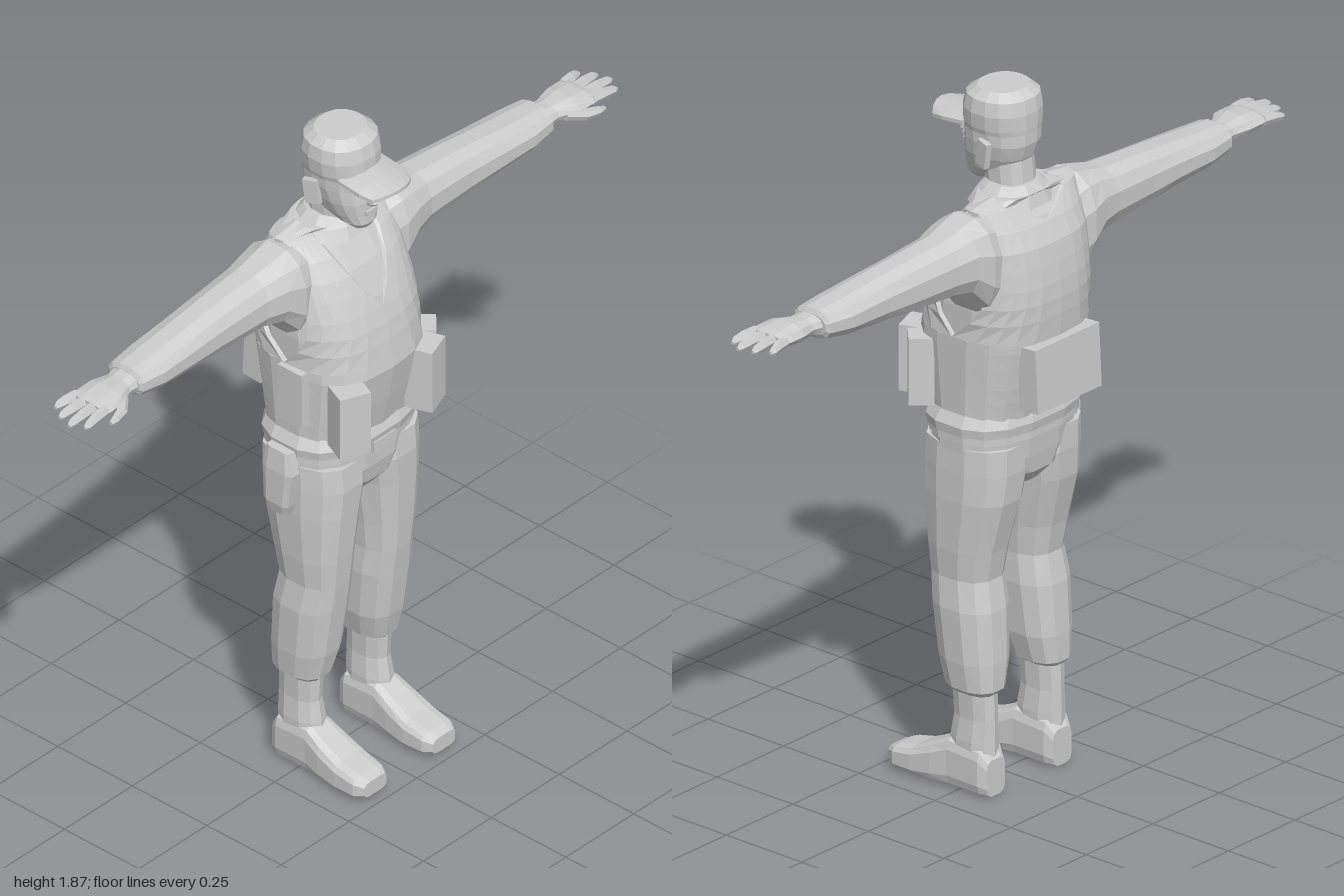
import * as THREE from 'three';

const lightGrey = new THREE.MeshStandardMaterial({ color: 0xcccccc });
lightGrey.name = 'lightGrey';

// Flat-shaded geometry from a grid of points (rows of equal length)
function skin(rows, { closed = false, flip = false } = {}) {
  const out = [];
  const tri = (a, b, c) => (flip ? [a, c, b] : [a, b, c]).forEach(p => out.push(...p));
  const n = rows[0].length;
  for (let i = 0; i < rows.length - 1; i++)
    for (let j = 0; j < (closed ? n : n - 1); j++) {
      const k = (j + 1) % n, [a, b] = [rows[i], rows[i + 1]];
      tri(a[j], b[j], b[k]);
      tri(a[j], b[k], a[k]);
    }
  if (closed) {
    const mid = r => [0, 1, 2].map(c => r.reduce((s, p) => s + p[c], 0) / n);
    const lo = rows[0], hi = rows[rows.length - 1], cl = mid(lo), ch = mid(hi);
    for (let j = 0; j < n; j++) {
      const k = (j + 1) % n;
      tri(cl, lo[j], lo[k]);
      tri(ch, hi[k], hi[j]);
    }
  }
  const g = new THREE.BufferGeometry();
  g.setAttribute('position', new THREE.Float32BufferAttribute(out, 3));
  g.computeVertexNormals();
  return g;
}

const pow = (v, p) => Math.sign(v) * Math.abs(v) ** (2 / p);

// Loft through rings [t, uMin, uMax, vMin, vMax] with superellipse sections.
// axis y: u = x, v = z; axis x: u = y, v = z; axis z: u = x, v = y
function loft(rings, { sides = 12, p = 2.4, axis = 'y' } = {}) {
  const rows = rings.map(([t, u0, u1, v0, v1]) => Array.from({ length: sides }, (_, j) => {
    const a = (j + 0.5) / sides * Math.PI * 2;
    const u = (u0 + u1) / 2 + (u1 - u0) / 2 * pow(Math.cos(a), p);
    const v = (v0 + v1) / 2 + (v1 - v0) / 2 * pow(Math.sin(a), p);
    return axis === 'y' ? [u, t, v] : axis === 'x' ? [t, u, v] : [u, v, t];
  }));
  return skin(rows, { closed: true, flip: axis !== 'y' });
}
// Symmetric upright rings [y, halfWidth, zBack, zFront]
const body = (rings, opts) => loft(rings.map(([y, r, b, f]) => [y, -r, r, b, f]), opts);

// Copy on the other side, with corner order restored
function mirrored(geo) {
  const g = geo.index ? geo.toNonIndexed() : geo.clone(), q = g.attributes.position;
  for (let i = 0; i < q.count; i += 3) {
    const v = [0, 2, 1].map(k => [-q.getX(i + k), q.getY(i + k), q.getZ(i + k)]);
    v.forEach((c, k) => q.setXYZ(i + k, ...c));
  }
  g.computeVertexNormals();
  return g;
}

const box = (w, h, d, x, y, z, ry = 0, rx = 0) =>
  new THREE.BoxGeometry(w, h, d).rotateX(rx).rotateY(ry).translate(x, y, z);

// Torso outline: [y, halfWidth, zBack, zFront]
const TORSO = [
  [1.03, .195, -.155, .135], [1.12, .198, -.175, .155], [1.22, .202, -.193, .173], [1.33, .205, -.2, .155],
  [1.41, .2, -.195, .13], [1.49, .195, -.18, .09], [1.55, .19, -.15, .045], [1.59, .183, -.12, 0]];
function torsoAt(y) {
  let i = 0;
  while (i < TORSO.length - 2 && TORSO[i + 1][0] < y) i++;
  const [a, b] = [TORSO[i], TORSO[i + 1]], t = (y - a[0]) / (b[0] - a[0]);
  return a.map((v, k) => v + (b[k] - v) * t);
}
function torsoPoint(y, ang, k = 1) {
  const [, r, b, f] = torsoAt(y), c = (b + f) / 2;
  return [r * k * pow(Math.cos(ang), 2.6), y, c + (f - b) / 2 * k * pow(Math.sin(ang), 2.6)];
}

// Quarter of the upper vest, from the armhole round to the neck edge
function vestPanel(front) {
  const ramp = (y, a, b, v) => v * THREE.MathUtils.clamp((y - a) / (b - a), 0, 1);
  const s = front ? 1 : -1, cols = 5;
  const rows = [1.25, 1.3, 1.345, 1.39, 1.44, 1.49, 1.54, 1.59].map(y => {
    const a = ramp(y, 1.25, 1.36, .42);
    const b = Math.PI / 2 - (front ? ramp(y, 1.39, 1.59, .5) : ramp(y, 1.54, 1.59, .5));
    const row = Array.from({ length: cols + 1 }, (_, j) => torsoPoint(y, s * (a + (b - a) * j / cols)));
    const neckRim = y > 1.39 ? .92 : 1;
    return [torsoPoint(y, s * a, .92), ...row, torsoPoint(y, s * b, neckRim)];
  });
  const top = Array.from({ length: cols + 1 }, (_, j) => [.185 - .085 * j / cols, 1.598 + .012 * j / cols, -.06]);
  rows.push([[.18, 1.58, -.06], ...top, [.095, 1.59, -.06]]);
  return skin(rows, { flip: !front });
}

export function createModel() {
  const root = new THREE.Group();
  root.name = 'soldier';
  const add = (name, geo) => {
    const m = new THREE.Mesh(geo, lightGrey);
    m.name = name;
    root.add(m);
  };
  const pair = (name, geo) => {
    add(name + 'Left', geo);
    add(name + 'Right', mirrored(geo));
  };

  // Torso: shirt, collar and vest
  add('shirt', body([...TORSO.filter(r => r[0] > 1.1).map(([y, r, b, f]) => [y, r * .94, b + .012, f - .012]),
    [1.605, .11, -.12, .025]], { sides: 16, p: 2.6 }));
  add('collar', body([[1.57, .115, -.13, .06], [1.6, .095, -.12, .045], [1.625, .068, -.1, .025]]));
  add('lowerVest', body([1.03, 1.08, 1.12, 1.18, 1.22, 1.25].map(torsoAt), { sides: 18, p: 2.6 }));
  pair('vestFront', vestPanel(true));
  pair('vestBack', vestPanel(false));
  add('shirtHem', body([[.985, .208, -.155, .14], [1.01, .212, -.16, .145], [1.05, .19, -.15, .13]], { sides: 16, p: 2.6 }));
  add('belt', body([[.965, .206, -.152, .134], [.99, .206, -.152, .134]], { sides: 16, p: 2.6 }));
  add('buckle', box(.08, .032, .012, 0, .978, .137));

  // Pouches and holster
  add('backPouch', box(.24, .17, .06, 0, 1.155, -.192, 0, .05));
  add('frontPouchLeft', box(.085, .18, .075, .13, 1.13, .158, .35));
  add('sidePouchLeft', box(.07, .18, .065, .188, 1.13, .1, .75));
  add('frontPouchRight', box(.085, .18, .075, -.145, 1.13, .155, -.4));
  add('radio', box(.03, .16, .08, -.202, 1.17, .02));
  add('holster', loft([[.81, -.232, -.2, -.04, .02], [.84, -.24, -.196, -.055, .03],
    [.94, -.24, -.196, -.06, .045], [1.0, -.232, -.2, -.05, .03]], { sides: 8, p: 4 }));

  // Trousers
  add('hips', body([[.82, .06, -.1, .085], [.86, .13, -.135, .118], [.91, .2, -.142, .128], [.975, .202, -.148, .13]],
    { sides: 16, p: 2.5 }));
  pair('trouserLeg', loft([[.27, .085, .168, -.085, .04], [.285, .062, .184, -.1, .055], [.36, .042, .193, -.102, .075],
    [.5, .032, .197, -.095, .095], [.58, .036, .188, -.08, .105], [.66, .03, .196, -.095, .113],
    [.8, .012, .202, -.132, .125], [.88, -.005, .202, -.14, .13], [.95, 0, .2, -.14, .125]], { p: 2.5 }));

  // Boots
  pair('bootShaft', loft([[.04, .082, .168, -.09, .05], [.14, .082, .168, -.088, .045],
    [.2, .088, .162, -.088, .035], [.29, .085, .165, -.085, .04]], { sides: 10 }));
  pair('bootFoot', loft([[-.092, .09, .16, 0, .1], [-.07, .078, .172, 0, .13], [.03, .076, .174, 0, .138],
    [.08, .07, .182, 0, .11], [.14, .066, .186, 0, .082], [.2, .07, .184, .004, .068], [.226, .085, .168, .012, .056]],
  { p: 4, axis: 'z' }));

  // Sleeves: [x, yBottom, yTop, zBack, zFront]
  pair('sleeve', loft([[.13, 1.3, 1.575, -.14, .04], [.19, 1.33, 1.59, -.15, .055], [.24, 1.39, 1.577, -.14, .045],
    [.3, 1.403, 1.562, -.13, .03], [.45, 1.41, 1.55, -.12, .025], [.55, 1.42, 1.54, -.115, .028],
    [.68, 1.43, 1.527, -.112, .03], [.755, 1.442, 1.522, -.1, .022], [.762, 1.455, 1.51, -.09, .012]], { axis: 'x' }));

  // Hands with fingers and thumb
  pair('palm', loft([[.74, 1.452, 1.512, -.085, .01], [.79, 1.46, 1.506, -.075, .008], [.84, 1.46, 1.512, -.088, .032],
    [.89, 1.468, 1.507, -.09, .036], [.91, 1.473, 1.5, -.085, .034]], { sides: 10, axis: 'x' }));
  [[-.075, -.085, .965], [-.043, -.048, .99], [-.01, -.008, 1], [.021, .028, .98]].forEach(([z0, z1, tip], i) => {
    const ring = (x, z, r, y) => [x, y - r, y + r, z - r, z + r];
    pair('finger' + (i + 1), loft([ring(.895, z0, .014, 1.488), ring((.895 + tip) / 2, (z0 + z1) / 2, .014, 1.487),
      ring(tip - .012, z1, .011, 1.483), ring(tip, z1, .005, 1.481)], { sides: 6, axis: 'x' }));
  });
  pair('thumb', loft([[.81, 1.462, 1.495, -.015, .02], [.85, 1.458, 1.488, .02, .052],
    [.89, 1.458, 1.482, .038, .06], [.91, 1.463, 1.475, .045, .057]], { sides: 6, axis: 'x' }));

  // Head
  add('neck', body([[1.56, .07, -.105, .03], [1.62, .06, -.092, .03], [1.69, .06, -.085, .04]]));
  add('head', body([[1.607, .026, .035, .085], [1.625, .045, -.005, .097], [1.65, .06, -.06, .096],
    [1.69, .075, -.088, .096], [1.73, .084, -.1, .09], [1.765, .086, -.1, .092], [1.8, .086, -.098, .085]], { sides: 16 }));
  add('nose', loft([[1.682, -.014, .014, .08, .112], [1.692, -.016, .016, .08, .124],
    [1.72, -.009, .009, .08, .107], [1.745, -.008, .008, .07, .095]], { sides: 6 }));
  add('lips', box(.04, .014, .012, 0, 1.659, .095));
  pair('brow', box(.04, .01, .02, .034, 1.744, .082, .25));
  pair('eye', box(.024, .008, .008, .034, 1.727, .086, .25));
  pair('ear', box(.016, .068, .04, .09, 1.712, -.02, -.25, -.15));

  // Cap with curved peak
  add('cap', body([[1.762, .09, -.102, .09], [1.775, .094, -.103, .094], [1.815, .098, -.103, .092],
    [1.852, .092, -.096, .083], [1.872, .068, -.07, .055]], { sides: 16, p: 2.2 }));
  const peak = new THREE.BoxGeometry(.16, .01, .14, 6, 1, 2), q = peak.attributes.position;
  for (let i = 0; i < q.count; i++) {
    const x = q.getX(i), z = q.getZ(i);
    q.setXYZ(i, x * (z > .05 ? .88 : 1), 1.778 + q.getY(i) - 2.5 * x * x - .1 * z, .128 + z - (z > .05 ? 5 * x * x : 0));
  }
  const peakFlat = peak.toNonIndexed();
  peakFlat.computeVertexNormals();
  add('capPeak', peakFlat);

  return root;
}
